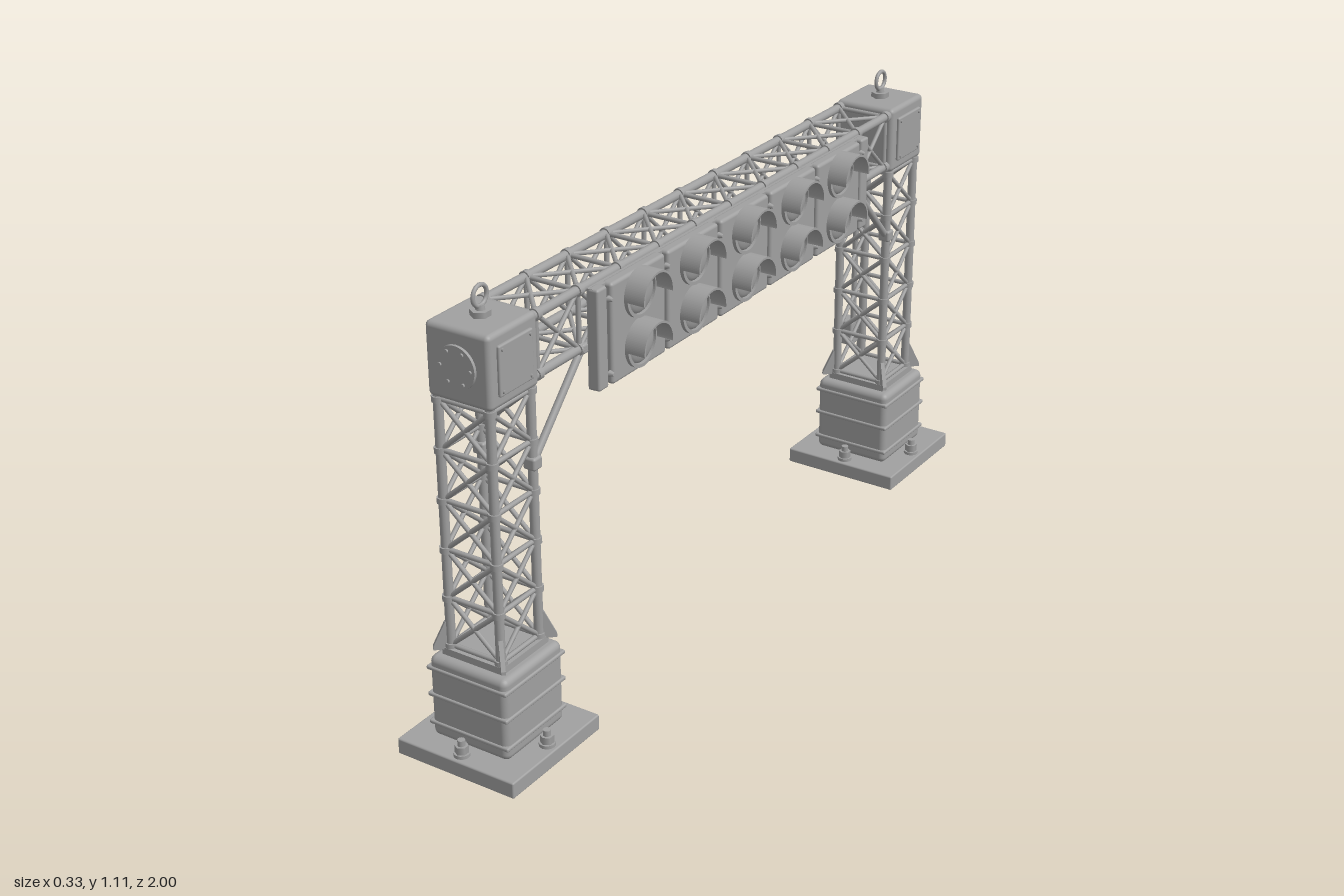
import * as THREE from 'three';
import { RoundedBoxGeometry } from 'three/addons/geometries/RoundedBoxGeometry.js';

const steel = new THREE.MeshStandardMaterial({ color: 0xa0a0a0 });
steel.name = 'grey steel';

const CX = -0.003;   // centre line of columns and beam
const CZ = 0.84;     // column distance from the middle
const H = 0.068;     // half spacing of the lattice chords
const V = (x, y, z) => new THREE.Vector3(x, y, z);

function add(parent, name, geo, x = 0, y = 0, z = 0) {
  const m = new THREE.Mesh(geo, steel);
  m.name = name;
  m.position.set(x, y, z);
  parent.add(m);
  return m;
}
const box = (p, name, w, h, d, x, y, z) => add(p, name, new THREE.BoxGeometry(w, h, d), x, y, z);
const rbox = (p, name, w, h, d, r, x, y, z) => add(p, name, new RoundedBoxGeometry(w, h, d, 3, r), x, y, z);

// Round bar between two points
function bar(p, name, a, b, r, sides = 8) {
  const dir = b.clone().sub(a);
  const m = add(p, name, new THREE.CylinderGeometry(r, r, dir.length(), sides));
  m.position.copy(a).add(b).multiplyScalar(0.5);
  m.quaternion.setFromUnitVectors(V(0, 1, 0), dir.normalize());
  return m;
}

// Square lattice tower standing on y, with nodes at each level
function lattice(levels, bottom, top) {
  const g = new THREE.Group();
  const corners = [[-H, -H], [H, -H], [H, H], [-H, H]];
  corners.forEach(([x, z], i) => {
    const [u, w] = corners[(i + 1) % 4];
    bar(g, 'chord', V(x, bottom, z), V(x, top, z), 0.011, 12);
    levels.forEach((y, k) => {
      bar(g, 'strut', V(x, y, z), V(u, y, w), 0.006);
      add(g, 'jointCollar', new THREE.CylinderGeometry(0.0145, 0.0145, 0.014, 12), x, y, z);
      if (k === levels.length - 1) return;
      const y2 = levels[k + 1];
      bar(g, 'diagonal', V(x, y, z), V(u, y2, w), 0.0055);
      bar(g, 'diagonal', V(u, y, w), V(x, y2, z), 0.0055);
    });
  });
  return g;
}

const steps = (a, b, n) => Array.from({ length: n + 1 }, (_, i) => a + (b - a) * i / n);

function createColumn() {
  const g = new THREE.Group();
  // Footing with anchor bolts
  rbox(g, 'basePlate', 0.32, 0.04, 0.32, 0.004, 0, 0.02, 0);
  for (let i = 0; i < 4; i++) {
    const x = Math.cos(i * Math.PI / 2) * 0.133, z = Math.sin(i * Math.PI / 2) * 0.133;
    add(g, 'washer', new THREE.CylinderGeometry(0.019, 0.019, 0.008, 16), x, 0.044, z);
    add(g, 'nut', new THREE.CylinderGeometry(0.016, 0.016, 0.018, 6), x, 0.057, z);
    add(g, 'boltEnd', new THREE.CylinderGeometry(0.009, 0.009, 0.014, 12), x, 0.073, z);
  }
  rbox(g, 'pedestal', 0.21, 0.205, 0.21, 0.016, 0, 0.1425, 0);
  for (const y of [0.075, 0.147, 0.215]) rbox(g, 'pedestalBand', 0.218, 0.01, 0.218, 0.004, 0, y, 0);
  box(g, 'columnFlange', 0.165, 0.02, 0.165, 0, 0.252, 0);

  const tower = lattice(steps(0.266, 0.862, 5), 0.25, 0.88);
  tower.name = 'columnLattice';
  g.add(tower);

  // Diagonal gussets at the foot of each chord
  const fin = new THREE.Shape([[0, 0], [0.04, 0], [0.04, 0.008], [0.012, 0.068], [0, 0.068]].map(p => new THREE.Vector2(...p)));
  const finGeo = new THREE.ExtrudeGeometry(fin, { depth: 0.01, bevelEnabled: false }).translate(0, 0, -0.005);
  for (let i = 0; i < 4; i++) {
    const a = Math.PI / 4 + i * Math.PI / 2;
    add(g, 'footGusset', finGeo, Math.cos(a) * H * Math.SQRT2, 0.258, -Math.sin(a) * H * Math.SQRT2).rotation.y = a;
  }

  // Head box with an end cover, side covers and lifting eye
  rbox(g, 'headBox', 0.166, 0.17, 0.166, 0.012, 0, 0.955, 0);
  add(g, 'endCover', new THREE.CylinderGeometry(0.05, 0.05, 0.01, 32), 0, 0.955, 0.085).rotation.x = Math.PI / 2;
  for (let i = 0; i < 6; i++) {
    const a = i * Math.PI / 3;
    add(g, 'coverBolt', new THREE.CylinderGeometry(0.0045, 0.0045, 0.006, 8),
      Math.cos(a) * 0.039, 0.955 + Math.sin(a) * 0.039, 0.091).rotation.x = Math.PI / 2;
  }
  for (const s of [-1, 1]) {
    rbox(g, 'sideCover', 0.01, 0.115, 0.115, 0.004, s * 0.085, 0.955, 0);
    for (const y of [-1, 1]) for (const z of [-1, 1])
      add(g, 'coverBolt', new THREE.CylinderGeometry(0.004, 0.004, 0.006, 8), s * 0.091, 0.955 + y * 0.047, z * 0.047).rotation.z = Math.PI / 2;
    // Knee brace up to the beam
    bar(g, 'kneeBrace', V(s * H, 0.69, -0.07), V(s * H, 0.888, -0.255), 0.009, 10);
    rbox(g, 'braceFoot', 0.032, 0.03, 0.03, 0.006, s * H, 0.692, -0.068);
    rbox(g, 'braceHead', 0.028, 0.024, 0.03, 0.006, s * H, 0.888, -0.255);
  }
  add(g, 'eyeBase', new THREE.CylinderGeometry(0.023, 0.023, 0.014, 6), 0, 1.046, 0);
  add(g, 'eyeStem', new THREE.CylinderGeometry(0.009, 0.011, 0.016, 12), 0, 1.057, 0);
  add(g, 'liftingEye', new THREE.TorusGeometry(0.023, 0.005, 10, 28), 0, 1.084, 0).rotation.y = Math.PI / 2;
  return g;
}

// Partial ring extruded along +x
function arcShell(r, t, from, to, depth) {
  const s = new THREE.Shape();
  s.absarc(0, 0, r, from, to, false);
  s.absarc(0, 0, r - t, to, from, true);
  return new THREE.ExtrudeGeometry(s, { depth, bevelEnabled: false, curveSegments: 28 }).rotateY(Math.PI / 2);
}

function createSignalPanel() {
  const g = new THREE.Group();
  g.name = 'signalPanel';
  box(g, 'backPlate', 0.016, 0.236, 1.165, 0.086, 0.908, 0);
  const hood = arcShell(0.058, 0.005, -0.1, Math.PI + 0.1, 0.053);
  const rim = arcShell(0.058, 0.008, 0, Math.PI * 2, 0.01);
  const lens = new THREE.SphereGeometry(0.05, 24, 8, 0, Math.PI * 2, 0, Math.PI / 2).scale(1, 0.3, 1).rotateZ(-Math.PI / 2);
  for (let i = -2; i <= 2; i++) {
    const z = i * 0.217;
    rbox(g, 'lampModule', 0.03, 0.238, 0.206, 0.008, 0.096, 0.908, z);
    for (const y of [0.974, 0.855]) {
      add(g, 'lampRim', rim, 0.11, y, z);
      add(g, 'lampLens', lens, 0.11, y, z);
      add(g, 'lampHood', hood, 0.11, y, z);
    }
  }
  for (const s of [-1, 1]) {
    rbox(g, 'endStrip', 0.028, 0.238, 0.036, 0.006, 0.094, 0.908, s * 0.566);
    for (const z of [0.11, 0.325, 0.545]) for (const y of [0.82, 0.995])
      add(g, 'panelClip', new THREE.CylinderGeometry(0.004, 0.008, 0.012, 8), 0.113, y, s * z).rotation.z = -Math.PI / 2;
    for (const z of [0.15, 0.456]) box(g, 'panelBracket', 0.03, 0.02, 0.03, 0.072, 0.89, s * z);
  }
  return g;
}

function createConduit() {
  const g = new THREE.Group();
  g.name = 'cableRun';
  const x = -0.1, y = 0.888, z = -0.908;
  // Pipe up the column, round the bend and along the beam
  const path = new THREE.CurvePath();
  path.add(new THREE.LineCurve3(V(x, 0.35, z), V(x, y - 0.03, z)));
  path.add(new THREE.QuadraticBezierCurve3(V(x, y - 0.03, z), V(x, y, z), V(x, y, z + 0.03)));
  path.add(new THREE.LineCurve3(V(x, y, z + 0.03), V(x, y, 0)));
  add(g, 'conduit', new THREE.TubeGeometry(path, 160, 0.008, 10));
  add(g, 'conduitEnd', new THREE.CylinderGeometry(0.01, 0.01, 0.016, 12), x, y, -0.006).rotation.x = Math.PI / 2;
  rbox(g, 'junctionBox', 0.046, 0.07, 0.05, 0.005, -0.114, 0.325, z);
  box(g, 'boxBracket', 0.03, 0.03, 0.016, -0.082, 0.325, z);
  for (const h of [0.44, 0.56, 0.68, 0.8]) box(g, 'pipeClamp', 0.034, 0.012, 0.02, -0.09, h, z);
  for (const d of [-0.72, -0.54, -0.36, -0.1]) box(g, 'pipeClamp', 0.034, 0.02, 0.012, -0.09, y, d);
  return g;
}

export function createModel() {
  const model = new THREE.Group();
  model.name = 'signalGantry';

  const front = createColumn();
  front.name = 'frontColumn';
  front.position.set(CX, 0, CZ);
  const back = createColumn();
  back.name = 'backColumn';
  back.position.set(CX, 0, -CZ);
  back.rotation.y = Math.PI;
  model.add(front, back);

  // Beam between the head boxes
  const beam = lattice(steps(-0.745, 0.745, 10), -0.77, 0.77);
  beam.name = 'beamLattice';
  beam.rotation.x = Math.PI / 2;
  beam.position.set(CX, 0.956, 0);
  model.add(beam);

  model.add(createSignalPanel(), createConduit());
  return model;
}
